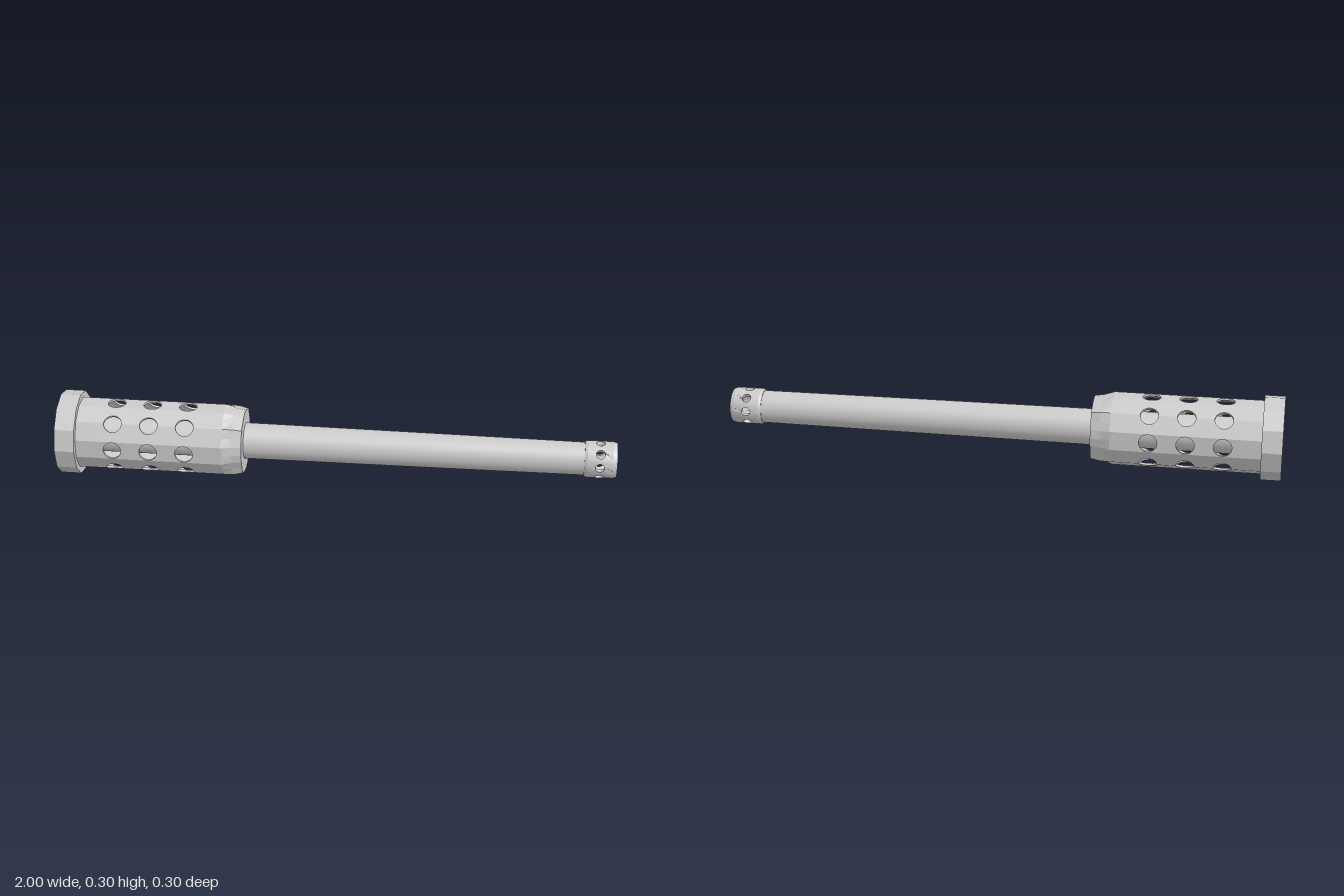
import * as THREE from 'three';
import { mergeGeometries, toCreasedNormals } from 'three/addons/utils/BufferGeometryUtils.js';

const smooth = new THREE.MeshStandardMaterial({ color: 0xcccccc, side: THREE.DoubleSide });
const faceted = new THREE.MeshStandardMaterial({ color: 0xcccccc, side: THREE.DoubleSide, flatShading: true });
const AXIS_Y = 0.151;

export function createModel() {
  const group = new THREE.Group();
  const add = (name, geometry, material = smooth) => {
    const mesh = new THREE.Mesh(geometry, material);
    mesh.name = name;
    mesh.position.y = AXIS_Y;
    group.add(mesh);
  };

  // Turned part along x, from [x, radius] pairs
  const turned = (profile, sides = 32) => {
    const g = new THREE.LatheGeometry(profile.map(([x, r]) => new THREE.Vector2(r, x)), sides);
    return toCreasedNormals(g.rotateZ(-Math.PI / 2), 0.5);
  };

  // Twelve-sided end cap
  const cap = new THREE.CylinderGeometry(0.151, 0.151, 0.072, 12);
  add('endCap', cap.rotateZ(-Math.PI / 2).translate(-0.964, 0, 0), faceted);

  // Twelve-sided sleeve: every third panel has whole holes, the others share half holes at 45 degrees
  const apothem = 0.126, wall = 0.008, holeR = 0.032, halfL = 0.265;
  const halfW = apothem * Math.tan(Math.PI / 12);
  const holeX = [-0.13, 0, 0.13];
  const panel = (notched) => {
    const s = new THREE.Shape();
    s.moveTo(-halfL, -halfW);
    if (notched) {
      for (const x of holeX) {
        s.lineTo(x - holeR, -halfW);
        s.absarc(x, -halfW, holeR, Math.PI, 0, true);
      }
    }
    s.lineTo(halfL, -halfW);
    s.lineTo(halfL, halfW);
    s.lineTo(-halfL, halfW);
    s.closePath();
    if (!notched) {
      for (const x of holeX) s.holes.push(new THREE.Path().absarc(x, 0, holeR, 0, Math.PI * 2));
    }
    return new THREE.ExtrudeGeometry(s, { depth: wall, bevelEnabled: false, curveSegments: 12 });
  };
  const panels = [];
  for (let i = 0; i < 12; i++) {
    const g = panel(i % 3 !== 0);
    if (i % 3 === 2) g.rotateZ(Math.PI);
    panels.push(g.translate(-0.665, 0, apothem - wall).rotateX(i * Math.PI / 6));
  }
  add('ventedSleeve', mergeGeometries(panels), faceted);

  // Shoulder: the sleeve narrows to a round face, leaving four diagonal corners
  const corner = apothem / Math.cos(Math.PI / 12);
  const rings = [
    [-0.4, (k) => (k % 2 ? corner : apothem)],
    [-0.365, (k) => (k % 6 === 3 ? corner : 0.119)],
    [-0.33, (k) => (k % 6 === 3 ? 0.122 : 0.113)],
    [-0.33, () => 0.05],
  ];
  const pos = [], index = [];
  rings.forEach(([x, radius], j) => {
    for (let k = 0; k < 24; k++) {
      const a = k * Math.PI / 12, r = radius(k);
      pos.push(x, r * Math.sin(a), r * Math.cos(a));
      if (j < rings.length - 1) {
        const p = j * 24 + k, q = j * 24 + (k + 1) % 24;
        index.push(p, p + 24, q + 24, p, q + 24, q);
      }
    }
  });
  const shoulder = new THREE.BufferGeometry();
  shoulder.setAttribute('position', new THREE.Float32BufferAttribute(pos, 3));
  shoulder.setIndex(index);
  shoulder.computeVertexNormals();
  add('shoulder', shoulder, faceted);

  // Long tapering barrel, running on inside the sleeve
  add('barrel', turned([[-0.93, 0.066], [-0.33, 0.065], [0.35, 0.062], [0.89, 0.059], [0.89, 0]]));

  // Muzzle ring: eight drilled sectors wrapped around the axis
  const R = 0.066, t = 0.014, half = R * Math.PI / 8;
  const sectors = [];
  for (let i = 0; i < 8; i++) {
    const s = new THREE.Shape();
    s.moveTo(0.895, -half);
    s.lineTo(0.985, -half);
    for (let k = 1; k <= 4; k++) s.lineTo(0.985, -half + k * half / 2);
    for (let k = 4; k >= 1; k--) s.lineTo(0.895, -half + k * half / 2);
    s.closePath();
    s.holes.push(new THREE.Path().absarc(0.94, 0, 0.016, 0, Math.PI * 2));
    const g = new THREE.ExtrudeGeometry(s, { depth: t, bevelEnabled: false, curveSegments: 10 });
    const p = g.attributes.position;
    for (let v = 0; v < p.count; v++) {
      const a = p.getY(v) / R + i * Math.PI / 4, r = R - t + p.getZ(v);
      p.setXYZ(v, p.getX(v), r * Math.sin(a), r * Math.cos(a));
    }
    sectors.push(g);
  }
  add('muzzleRing', toCreasedNormals(mergeGeometries(sectors), 0.6));
  add('muzzleCollar', turned([[0.885, 0.057], [0.885, 0.062], [0.895, R]]));
  add('muzzleRim', turned([[0.985, R], [1, 0.062], [1, 0.056], [0.985, R - t]]));

  return group;
}
